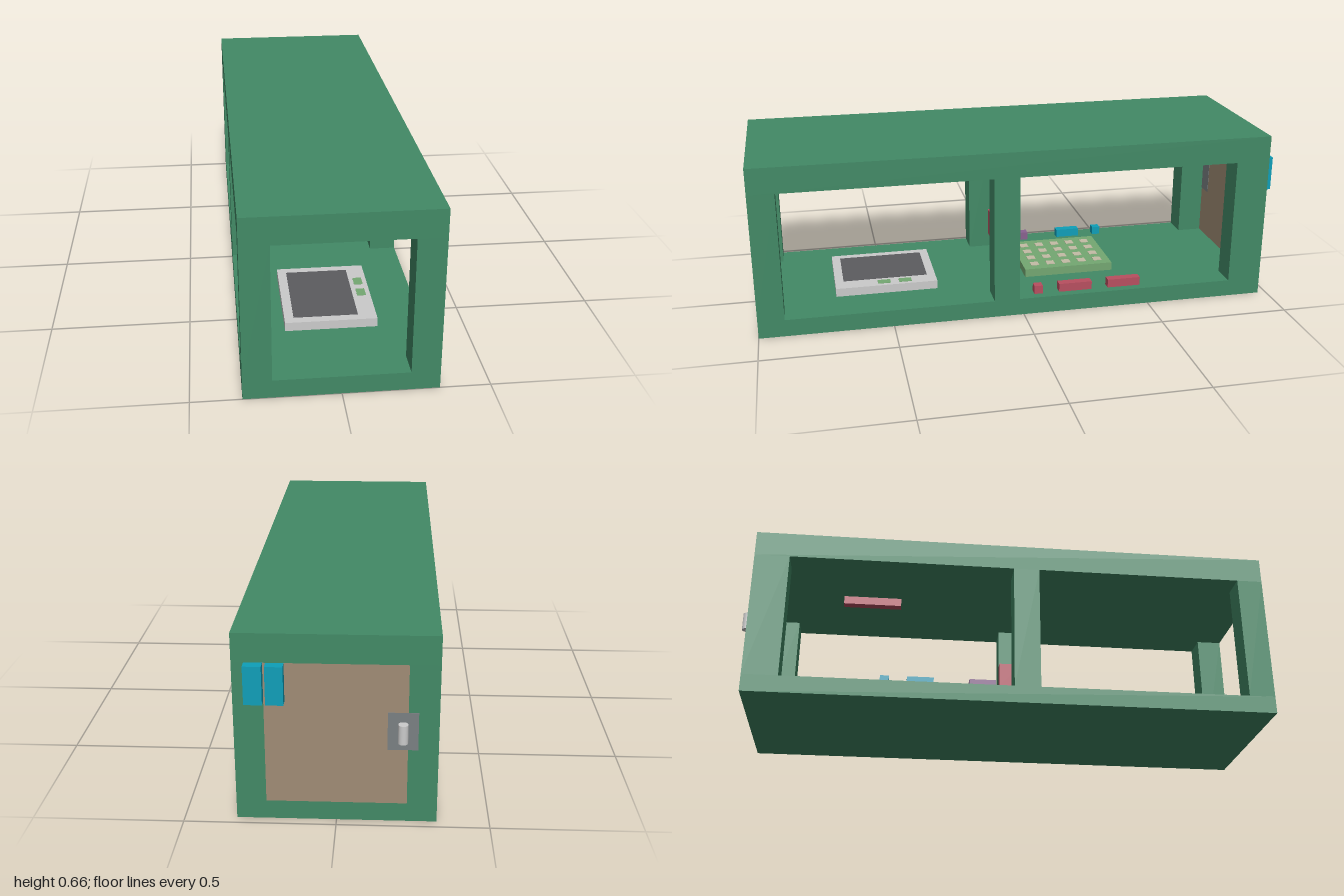
import * as THREE from 'three';

// One grid unit; the shell is 20 x 20 x 60 units with 1 unit of fittings behind.
const U = 2 / 61;
const px = (x) => (x - 10) * U; // x counted from the right wall
const pz = (d) => 1 - d * U; // d counted back from the front

const mat = (color) => new THREE.MeshStandardMaterial({ color });
const M = {
  green: mat(0x428a66), brown: mat(0xa08c75), red: mat(0xb84f60), cyan: mat(0x0e9fb9),
  purple: mat(0x8a6290), grey: mat(0xbcbcbc), dark: mat(0x5c5c60), plate: mat(0x7a8082),
  board: mat(0x74a872), key: mat(0xc4bda6),
};

export function createModel() {
  const model = new THREE.Group();

  // Box given by its limits in grid units
  const box = (name, material, [x0, x1], [y0, y1], [d0, d1], parent = model) => {
    const geo = new THREE.BoxGeometry((x1 - x0) * U, (y1 - y0) * U, (d1 - d0) * U);
    const mesh = new THREE.Mesh(geo, material);
    mesh.position.set(px((x0 + x1) / 2), ((y0 + y1) / 2) * U, pz((d0 + d1) / 2));
    mesh.name = name;
    parent.add(mesh);
    return mesh;
  };
  const handle = (name, material, x, d) => {
    const mesh = new THREE.Mesh(new THREE.CylinderGeometry(0.5 * U, 0.5 * U, 2 * U, 24), material);
    mesh.position.set(px(x), 10 * U, pz(d));
    mesh.name = name;
    model.add(mesh);
  };

  // Shell: floor, roof and three pairs of posts
  const shell = new THREE.Group();
  shell.name = 'shell';
  model.add(shell);
  box('floor', M.green, [0, 20], [0, 2], [0, 60], shell);
  box('roof', M.green, [0, 20], [17, 20], [0, 60], shell);
  for (const [name, d0, d1] of [['front', 0, 3], ['middle', 27, 30], ['rear', 56, 60]]) {
    box(name + 'RightPost', M.green, [0, 3], [2, 17], [d0, d1], shell);
    box(name + 'LeftPost', M.green, [17, 20], [2, 17], [d0, d1], shell);
  }

  // Rear door with lock plate and handles
  box('rearDoor', M.brown, [3, 17], [2, 17], [59, 60]);
  box('lockPlate', M.plate, [2, 5], [8, 12], [58.96, 60.04]);
  handle('outerHandle', M.grey, 3.5, 60.5);
  handle('innerHandle', M.dark, 15.5, 58.5);
  box('innerLatch', M.cyan, [15, 16], [8, 9], [58, 59]);
  box('innerLatchBase', M.cyan, [16, 17], [7, 9], [58, 59]);

  // Pair of boxes outside, above the door
  box('rearBoxOuter', M.cyan, [17, 18.8], [13, 17], [60, 61]);
  box('rearBoxInner', M.cyan, [14.95, 16.7], [13, 17], [60, 61]);

  // Wall and ceiling fittings
  box('postSwitch', M.red, [16, 17], [9, 12], [27, 30]);
  box('ceilingBar', M.red, [9, 10], [16, 17], [43, 50]);

  // Small blocks on the window sills
  for (const [d0, d1] of [[32, 33], [35, 39], [41, 45]]) {
    box('leftSillBlock', M.red, [18, 19], [2, 3], [d0, d1]);
  }
  for (const [d0, d1, m] of [[32, 35, M.purple], [39, 42, M.cyan], [44, 45, M.cyan]]) {
    box('rightSillBlock', m, [1, 2], [2, 3], [d0, d1]);
  }

  // Key board: 4 x 5 flat keys
  const keyboard = new THREE.Group();
  keyboard.name = 'keyBoard';
  model.add(keyboard);
  box('boardBase', M.board, [5, 14], [2, 3], [32, 43], keyboard);
  for (let i = 0; i < 4; i++) {
    for (let j = 0; j < 5; j++) {
      const x = 6 + 2 * i, d = 33 + 2 * j;
      box('key', M.key, [x, x + 1], [2.9, 3.06], [d, d + 1], keyboard);
    }
  }

  // Flat display panel on the front floor
  const panel = new THREE.Group();
  panel.name = 'displayPanel';
  model.add(panel);
  box('panelFrame', M.grey, [5, 15], [2, 3], [9, 21], panel);
  box('panelScreen', M.dark, [6, 13], [2.9, 3.04], [10, 20], panel);
  for (const d of [14, 16.5]) box('panelButton', M.board, [13.5, 14.5], [2.9, 3.04], [d, d + 1.5], panel);

  return model;
}
